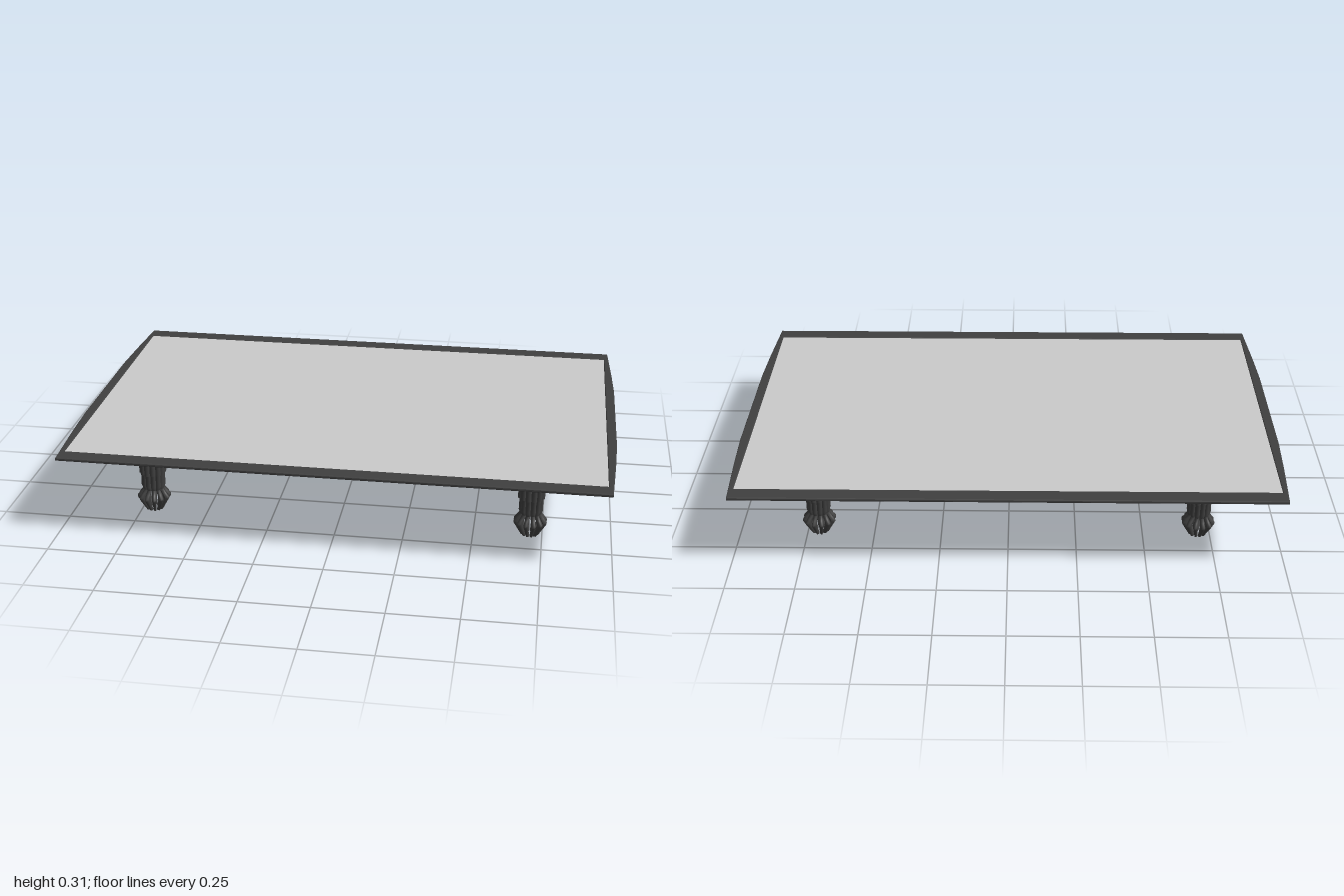
import * as THREE from 'three';

const glass = new THREE.MeshStandardMaterial({ color: 0xcccccc });
const dark = new THREE.MeshStandardMaterial({ color: 0x404040 });

function mesh(name, geometry, material, y = 0) {
  const m = new THREE.Mesh(geometry, material);
  m.name = name;
  m.position.y = y;
  return m;
}

// A bar that follows stations of [radius, height, radial half width, tangential half width]
function bar(stations) {
  const rows = stations.length - 1;
  const g = new THREE.CylinderGeometry(1, 1, 1, 10, rows);
  const p = g.attributes.position;
  for (let i = 0; i < p.count; i++) {
    const [r, y, a, b] = stations[Math.round((p.getY(i) + 0.5) * rows)];
    p.setXYZ(i, r + p.getX(i) * a, y, p.getZ(i) * b);
  }
  g.computeVertexNormals();
  return g;
}

const footBar = bar([
  [0.024, 0, 0.009, 0.005], [0.038, 0.026, 0.01, 0.007], [0.05, 0.05, 0.012, 0.009],
  [0.05, 0.058, 0.012, 0.009], [0.041, 0.072, 0.01, 0.008], [0.03, 0.088, 0.009, 0.008],
  [0.032, 0.1, 0.01, 0.008],
]);
const stemBar = bar([
  [0.029, 0.086, 0.01, 0.009], [0.035, 0.102, 0.01, 0.01], [0.034, 0.148, 0.01, 0.01],
  [0.038, 0.151, 0.012, 0.011], [0.038, 0.225, 0.012, 0.011],
]);
const spokeBar = bar([
  [0.036, 0.222, 0.012, 0.009], [0.05, 0.24, 0.016, 0.01],
  [0.07, 0.254, 0.019, 0.012], [0.148, 0.298, 0.027, 0.018],
]);

// Leg: bent bars gathered into a stem, held by a ring and fanned out under the top
function leg() {
  const g = new THREE.Group();
  const count = 12;
  for (let i = 0; i < count; i++) {
    const parts = [
      mesh('footBar', footBar, dark),
      mesh('stemBar', stemBar, dark),
      mesh('spoke', spokeBar, dark),
    ];
    for (const part of parts) {
      part.rotation.y = ((i + 0.5) / count) * Math.PI * 2;
      g.add(part);
    }
  }
  g.add(mesh('stemCore', new THREE.CylinderGeometry(0.038, 0.03, 0.14, 20), dark, 0.16));
  const ring = mesh('ring', new THREE.TorusGeometry(0.089, 0.016, 10, 32), dark, 0.236);
  ring.rotation.x = Math.PI / 2;
  g.add(ring);
  return g;
}

// Frame: straight long sides, slightly bowed short sides, rounded edges
function frame() {
  const outline = [];
  for (const [x, z] of [[0.98, -0.645], [0.993, -0.42], [1, -0.25], [1, 0.25], [0.993, 0.42], [0.98, 0.645]])
    outline.push(new THREE.Vector2(x, z));
  const shape = new THREE.Shape([...outline, ...outline.map(v => new THREE.Vector2(-v.x, -v.y))]);
  const hole = [[-0.965, -0.585], [-0.965, 0.585], [0.965, 0.585], [0.965, -0.585]];
  shape.holes.push(new THREE.Path(hole.map(([x, z]) => new THREE.Vector2(x, z))));
  const g = new THREE.ExtrudeGeometry(shape, {
    depth: 0.006, bevelThickness: 0.003, bevelSize: 0.004, bevelOffset: -0.004, bevelSegments: 2,
  });
  g.rotateX(-Math.PI / 2);
  return mesh('frame', g, dark, 0.305);
}

export function createModel() {
  const model = new THREE.Group();
  model.name = 'table';
  model.add(frame());
  model.add(mesh('tabletop', new THREE.BoxGeometry(1.935, 0.006, 1.175), glass, 0.308));
  for (const sx of [-1, 1])
    for (const sz of [-1, 1]) {
      const l = leg();
      l.name = (sz > 0 ? 'front' : 'back') + (sx > 0 ? 'Left' : 'Right') + 'Leg';
      l.position.set(sx * 0.705, 0, sz * 0.383);
      model.add(l);
    }
  return model;
}
